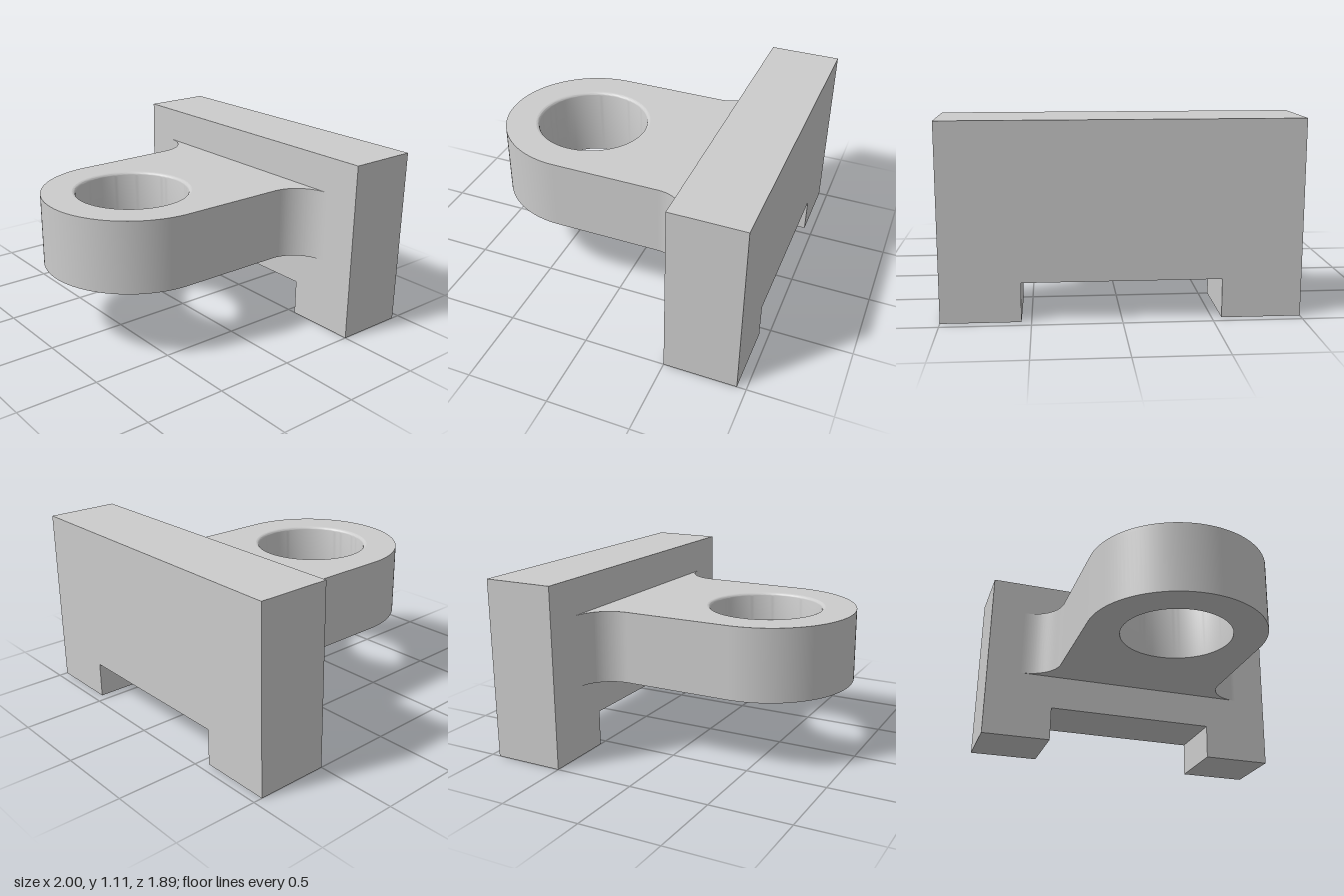
import * as THREE from 'three';
import { toCreasedNormals } from 'three/addons/utils/BufferGeometryUtils.js';

const U = 2 / 9; // base unit: the plate is 9 units wide
const BACK = -4.25 * U; // rear face of the plate
const PLATE_DEPTH = 2 * U;
const material = new THREE.MeshStandardMaterial({ color: 0xcccccc });

// Upright plate with a slot cut in its lower edge
function plateGeometry() {
  const w = 4.5 * U, h = 5 * U, slot = 2.5 * U, slotH = U;
  const shape = new THREE.Shape([
    [-w, 0], [-slot, 0], [-slot, slotH], [slot, slotH],
    [slot, 0], [w, 0], [w, h], [-w, h],
  ].map(([x, y]) => new THREE.Vector2(x, y)));
  const geo = new THREE.ExtrudeGeometry(shape, { depth: PLATE_DEPTH, bevelEnabled: false });
  return geo.translate(0, 0, BACK);
}

// Round-ended lug, flared into the plate, with a bore rounded at its top rim
function lugGeometry() {
  const r = 2.5 * U, flare = U, bore = 1.55 * U, rim = 0.1 * U;
  const height = 2 * U, steps = 7;
  const root = -(BACK + PLATE_DEPTH); // outline is drawn with y = -z
  const cy = -1.75 * U;

  const shape = new THREE.Shape();
  shape.moveTo(-r - flare, root);
  shape.absarc(-r - flare, root - flare, flare, Math.PI / 2, 0, true);
  shape.absarc(0, cy, r, Math.PI, 2 * Math.PI, false);
  shape.absarc(r + flare, root - flare, flare, Math.PI, Math.PI / 2, true);
  shape.closePath();

  const hole = new THREE.Path();
  hole.absarc(0, cy, bore, 0, Math.PI, false);
  hole.absarc(0, cy, bore, Math.PI, 2 * Math.PI, false);
  shape.holes.push(hole);

  const geo = new THREE.ExtrudeGeometry(shape, {
    depth: height, steps, curveSegments: 32, bevelEnabled: false,
  });

  // Gather the upper layers into a quarter round and widen the bore along it
  const pos = geo.attributes.position;
  for (let i = 0; i < pos.count; i++) {
    const layer = Math.round((pos.getZ(i) / height) * steps);
    if (layer === 0) continue;
    const a = ((layer - 1) / (steps - 1)) * Math.PI / 2;
    const x = pos.getX(i), y = pos.getY(i) - cy;
    const inBore = Math.hypot(x, y) < bore + 0.001;
    const k = inBore ? 1 + (rim / bore) * (1 - Math.cos(a)) : 1;
    pos.setXYZ(i, x * k, cy + y * k, height - rim + rim * Math.sin(a));
  }

  // Smooth walls, flat top and bottom
  const caps = geo.groups[0];
  const result = toCreasedNormals(geo, 0.6);
  const p = result.attributes.position;
  for (let i = caps.start; i < caps.start + caps.count; i++) {
    result.attributes.normal.setXYZ(i, 0, 0, p.getZ(i) > height / 2 ? 1 : -1);
  }
  return result.rotateX(-Math.PI / 2).translate(0, 2 * U, 0);
}

export function createModel() {
  const model = new THREE.Group();
  model.name = 'mountingBracket';
  const parts = { slottedPlate: plateGeometry(), boredLug: lugGeometry() };
  for (const [name, geometry] of Object.entries(parts)) {
    const mesh = new THREE.Mesh(geometry, material);
    mesh.name = name;
    model.add(mesh);
  }
  return model;
}
